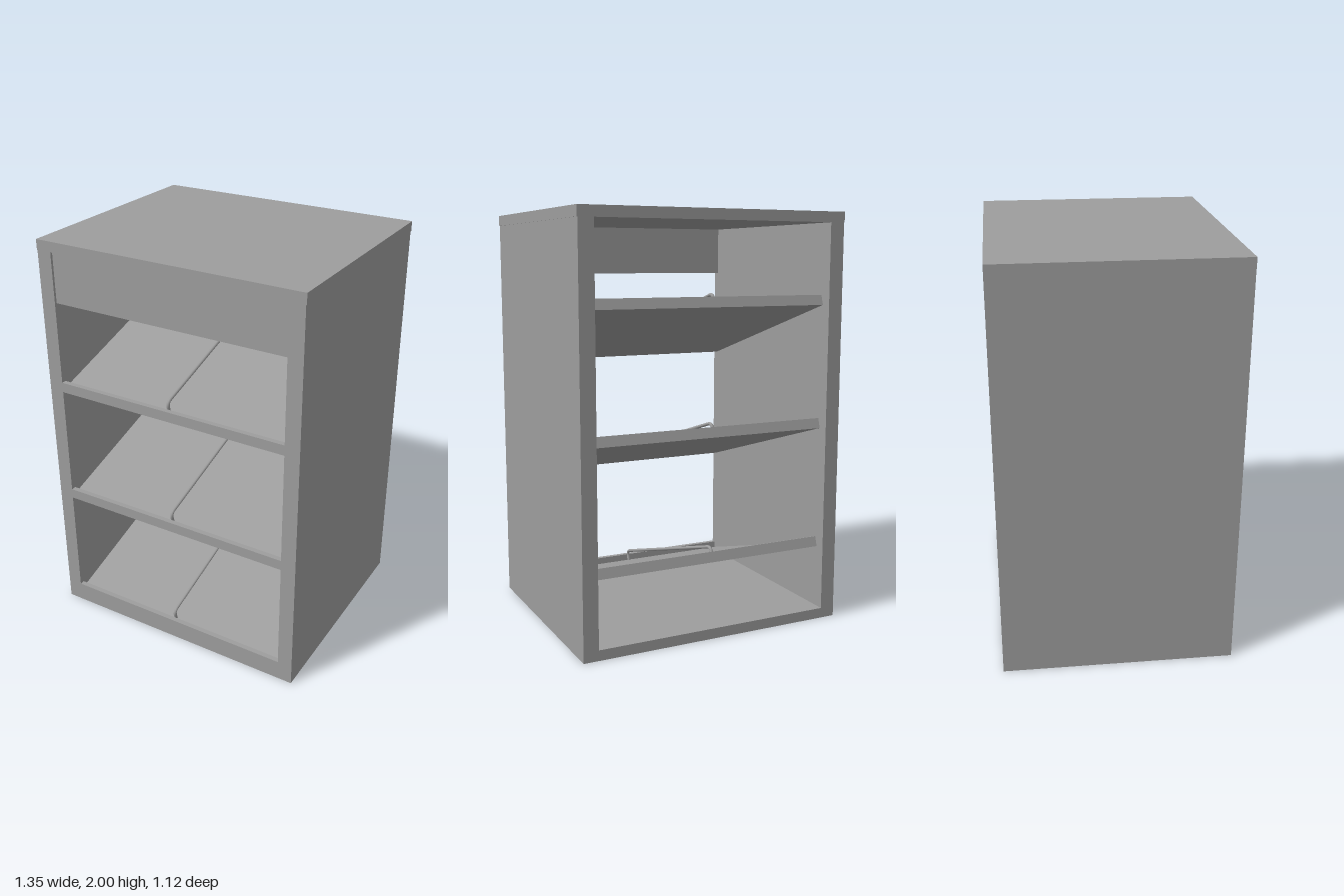
import * as THREE from 'three';

const grey = new THREE.MeshStandardMaterial({ color: 0x9d9d9d });

// Box given by its min/max limits on each axis
function box(parent, name, [x0, x1], [y0, y1], [z0, z1]) {
  const mesh = new THREE.Mesh(new THREE.BoxGeometry(x1 - x0, y1 - y0, z1 - z0), grey);
  mesh.position.set((x0 + x1) / 2, (y0 + y1) / 2, (z0 + z1) / 2);
  mesh.name = name;
  parent.add(mesh);
}

const W = 0.677, SIDE = 0.674, IN = 0.6, D = 0.56; // half widths (top, sides, inside) and half depth
const TILT = 0.291, LENGTH = 1.085, RAIL = 0.025;

// Sloping tray with a back lip and a bent-wire divider; local z runs from 0 (front) to -LENGTH
function createTray() {
  const tray = new THREE.Group();
  tray.name = 'tray';
  box(tray, 'trayBoard', [-IN, IN], [-0.02, 0], [-LENGTH, 0]);
  box(tray, 'trayBackLip', [-IN, IN], [0, 0.03], [-LENGTH, -LENGTH + 0.02]);

  // Divider wire: both ends bend down into the board
  const h = 0.053, r = 0.03, a = -0.028, b = -LENGTH + 0.028;
  const v = (y, z) => new THREE.Vector3(-0.02, y, z);
  const path = new THREE.CurvePath();
  path.add(new THREE.LineCurve3(v(-0.01, a), v(h - r, a)));
  path.add(new THREE.QuadraticBezierCurve3(v(h - r, a), v(h, a), v(h, a - r)));
  path.add(new THREE.LineCurve3(v(h, a - r), v(h, b + r)));
  path.add(new THREE.QuadraticBezierCurve3(v(h, b + r), v(h, b), v(h - r, b)));
  path.add(new THREE.LineCurve3(v(h - r, b), v(-0.01, b)));
  const wire = new THREE.Mesh(new THREE.TubeGeometry(path, 160, 0.008, 8), grey);
  wire.name = 'dividerWire';
  tray.add(wire);

  tray.rotation.x = TILT;
  return tray;
}

export function createModel() {
  const model = new THREE.Group();
  model.name = 'shelfCabinet';

  // Carcass, open at the back; the top overhangs the sides by a hair
  box(model, 'topPanel', [-W, W], [1.95, 2], [-D, D]);
  box(model, 'bottomPanel', [-IN, IN], [0, 0.05], [-D, D]);
  box(model, 'rightSide', [-SIDE, -IN], [0, 1.95], [-D, D]);
  box(model, 'leftSide', [IN, SIDE], [0, 1.95], [-D, D]);
  box(model, 'headerPanel', [-IN, IN], [1.705, 1.95], [D - 0.035, D - 0.012]);

  // Three levels: front rail with a sloping tray behind it
  for (const y of [0.05, 0.651, 1.253]) {
    box(model, 'frontRail', [-IN, IN], [y, y + 0.05], [D - RAIL, D]);
    const tray = createTray();
    tray.position.set(0, y + 0.016, D - RAIL);
    model.add(tray);
  }
  return model;
}
